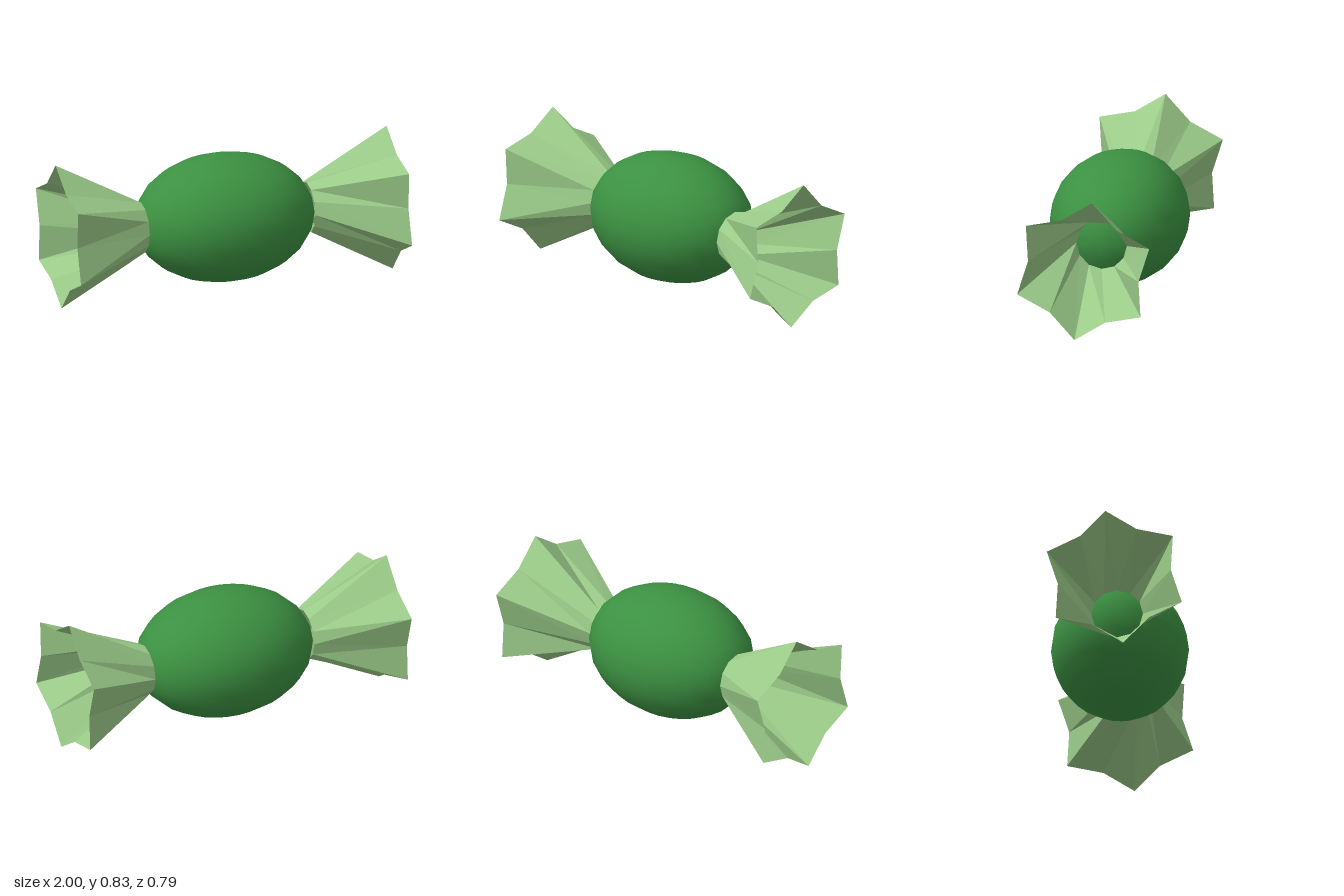
import * as THREE from 'three';

const CENTER_Y = 0.417;
const FOLDS = 12;

// Pleated flare: a round neck ring joined to a twisted, star-shaped rim
function wrapperEnd(side, material) {
  const step = (Math.PI * 2) / FOLDS;
  const twist = THREE.MathUtils.degToRad(23);
  const point = (x, r, a) => [side * x, r * Math.cos(a), r * Math.sin(a)];
  const neck = (i) => point(0.5, 0.147, i * step);
  const rim = (i) => point(1, i % 2 ? 0.418 : 0.324, i * step + twist);

  const positions = [];
  for (let i = 0; i < FOLDS; i++) {
    const a = neck(i), b = neck(i + 1), c = rim(i + 1), d = rim(i);
    // The pleats crease along opposite diagonals at the two ends
    if (side > 0) positions.push(...a, ...c, ...b, ...a, ...d, ...c);
    else positions.push(...a, ...b, ...d, ...b, ...c, ...d);
  }
  const geometry = new THREE.BufferGeometry();
  geometry.setAttribute('position', new THREE.Float32BufferAttribute(positions, 3));
  geometry.computeVertexNormals();

  const mesh = new THREE.Mesh(geometry, material);
  mesh.name = side > 0 ? 'leftWrapperEnd' : 'rightWrapperEnd';
  mesh.position.y = CENTER_Y;
  return mesh;
}

export function createModel() {
  const candyGreen = new THREE.MeshStandardMaterial({ color: 0x3c9142 });
  candyGreen.name = 'candyGreen';
  const wrapperGreen = new THREE.MeshStandardMaterial({
    color: 0x9aca88, flatShading: true, side: THREE.DoubleSide,
  });
  wrapperGreen.name = 'wrapperGreen';

  const model = new THREE.Group();
  model.name = 'wrappedCandy';

  // Smooth oval sweet in the middle
  const body = new THREE.Mesh(new THREE.SphereGeometry(1, 24, 12), candyGreen);
  body.name = 'candyBody';
  body.scale.set(0.53, 0.37, 0.393);
  body.position.y = CENTER_Y + 0.002;
  model.add(body);

  // Twisted wrapper ends
  for (const side of [1, -1]) model.add(wrapperEnd(side, wrapperGreen));
  return model;
}
